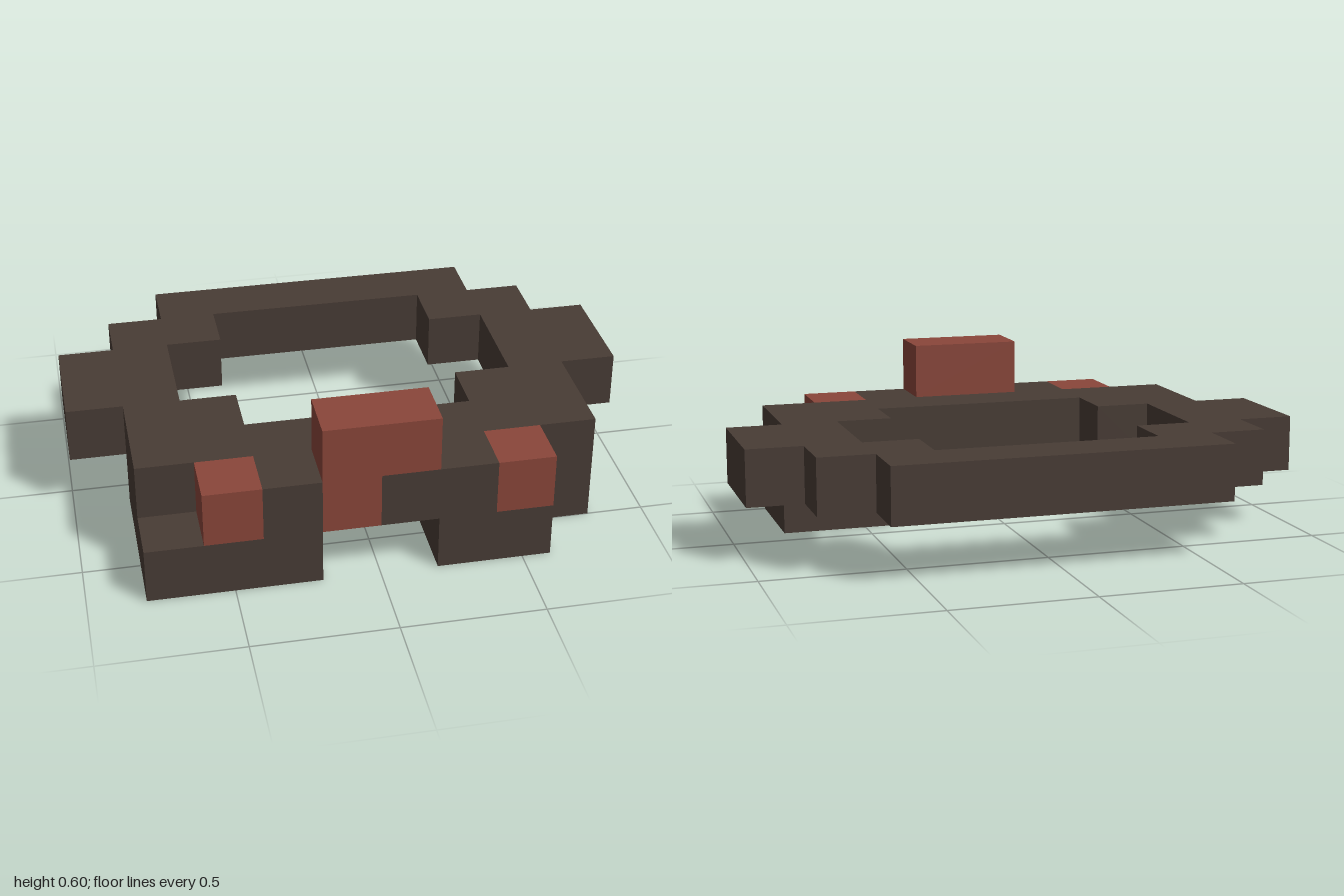
import * as THREE from 'three';

const CELL = 0.2; // every edge lies on a 0.2 grid

const darkBrown = new THREE.MeshStandardMaterial({ color: 0x483c35 });
darkBrown.name = 'darkBrown';
const brickRed = new THREE.MeshStandardMaterial({ color: 0x8a463a });
brickRed.name = 'brickRed';

// Points are [x, z] pairs seen from above.
const toVectors = (points) => points.map(([x, z]) => new THREE.Vector2(x, z));

// One-cell-thick slab with the given plan outline, its underside at y = bottom.
function slab(name, outline, bottom, hole) {
  const shape = new THREE.Shape(toVectors(outline));
  if (hole) shape.holes.push(new THREE.Path(toVectors(hole)));
  const geometry = new THREE.ExtrudeGeometry(shape, { depth: CELL, bevelEnabled: false });
  geometry.rotateX(Math.PI / 2).translate(0, bottom + CELL, 0);
  const mesh = new THREE.Mesh(geometry, darkBrown);
  mesh.name = name;
  return mesh;
}

// Red block in the front row.
function redBlock(name, x0, x1, bottom) {
  const mesh = new THREE.Mesh(new THREE.BoxGeometry(x1 - x0, CELL, CELL), brickRed);
  mesh.position.set((x0 + x1) / 2, bottom + CELL / 2, 0.6);
  mesh.name = name;
  return mesh;
}

export function createModel() {
  const group = new THREE.Group();
  group.name = 'steppedCirclet';

  // Stepped band, with gaps in its front edge for the red blocks
  const band = [
    [-0.6, -0.7], [0.6, -0.7], [0.6, -0.5], [0.8, -0.5], [0.8, -0.3], [1, -0.3],
    [1, 0.1], [0.8, 0.1], [0.8, 0.5], [0.4, 0.5], [0.4, 0.7], [0, 0.7], [0, 0.5],
    [-0.2, 0.5], [-0.2, 0.7], [-0.4, 0.7], [-0.4, 0.5], [-0.8, 0.5], [-0.8, 0.1],
    [-1, 0.1], [-1, -0.3], [-0.8, -0.3], [-0.8, -0.5], [-0.6, -0.5],
  ];
  const opening = [
    [-0.4, -0.5], [0.4, -0.5], [0.4, -0.3], [0.6, -0.3], [0.6, 0.1], [0.4, 0.1],
    [0.4, 0.3], [-0.4, 0.3], [-0.4, 0.1], [-0.6, 0.1], [-0.6, -0.3], [-0.4, -0.3],
  ];
  group.add(slab('band', band, CELL, opening));

  // Lower guards: the right one reaches one cell further out at the front
  group.add(slab('leftGuard', [
    [0.4, 0.1], [0.8, 0.1], [0.8, 0.5], [0.6, 0.5], [0.6, 0.7], [0.2, 0.7], [0.2, 0.3], [0.4, 0.3],
  ], 0));
  group.add(slab('rightGuard', [
    [-0.8, 0.1], [-0.4, 0.1], [-0.4, 0.3], [-0.2, 0.3], [-0.2, 0.7], [-0.8, 0.7],
  ], 0));

  // Red front blocks
  group.add(redBlock('rightStud', -0.6, -0.4, CELL));
  group.add(redBlock('leftStud', 0.4, 0.6, CELL));
  group.add(redBlock('crestBase', -0.2, 0, CELL));
  group.add(redBlock('crest', -0.2, 0.2, 2 * CELL));

  return group;
}
